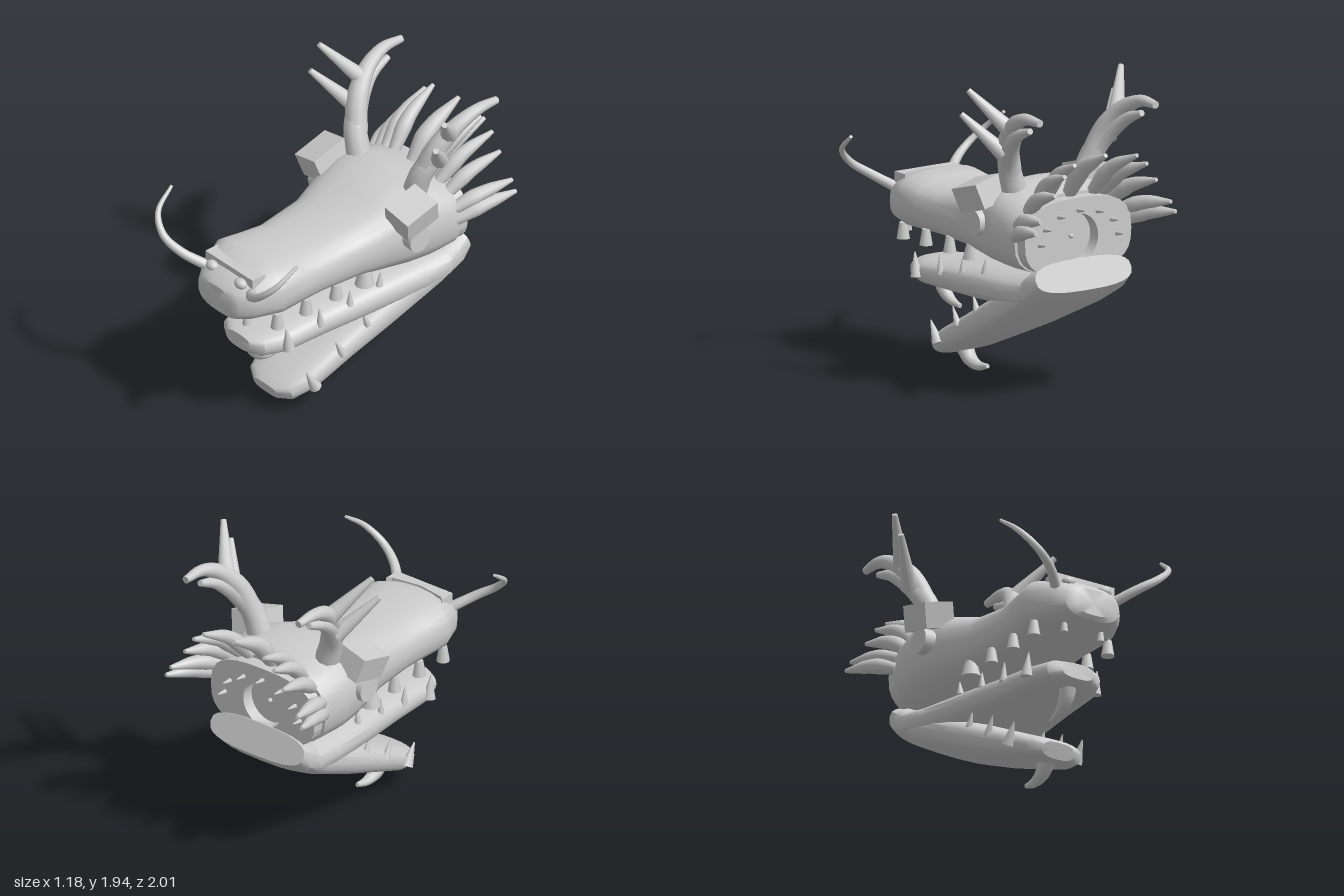
import * as THREE from 'three';
import { toCreasedNormals } from 'three/addons/utils/BufferGeometryUtils.js';

const stone = new THREE.MeshStandardMaterial({ color: 0xcccccc });
stone.name = 'pale grey';

const V = (x, y, z) => new THREE.Vector3(x, y, z);

function add(parent, name, geometry) {
  const mesh = new THREE.Mesh(geometry, stone);
  mesh.name = name;
  parent.add(mesh);
  return mesh;
}

// Rounded-box outline of one cross-section
function outline(halfWidth, bottom, top, power, count) {
  const pts = [];
  for (let i = 0; i < count; i++) {
    const a = (i / count) * Math.PI * 2, c = Math.cos(a), s = Math.sin(a);
    pts.push([
      halfWidth * Math.sign(c) * Math.abs(c) ** (2 / power),
      (top + bottom) / 2 + ((top - bottom) / 2) * Math.sign(s) * Math.abs(s) ** (2 / power),
    ]);
  }
  return pts;
}

// Closed body through sections [z, halfWidth, bottom, top], listed front to back
function loft(sections, power = 2.8, n = 24) {
  const pos = [], idx = [], last = sections.length - 1;
  for (const [z, w, b, t] of sections)
    for (const [x, y] of outline(w, b, t, power, n)) pos.push(x, y, z);
  for (let r = 0; r < last; r++)
    for (let i = 0; i < n; i++) {
      const j = (i + 1) % n, a = r * n + i, b = r * n + j;
      idx.push(a, a + n, b, b, a + n, b + n);
    }
  [0, last].forEach((r) => {
    const [z, , b, t] = sections[r], centre = pos.length / 3;
    pos.push(0, (b + t) / 2, z);
    for (let i = 0; i < n; i++) {
      const a = r * n + i, c = r * n + (i + 1) % n;
      idx.push(centre, ...(r === 0 ? [a, c] : [c, a]));
    }
  });
  const g = new THREE.BufferGeometry();
  g.setAttribute('position', new THREE.Float32BufferAttribute(pos, 3));
  g.setIndex(idx);
  return toCreasedNormals(g, 0.6);
}

// Curved, tapered horn with flat ends; radii are spread evenly along the path
function horn(points, radii, rings = 16, sides = 10) {
  const curve = new THREE.CatmullRomCurve3(points);
  const g = new THREE.TubeGeometry(curve, rings, 1, sides);
  const p = g.attributes.position, v = V(0, 0, 0);
  for (let i = 0; i <= rings; i++) {
    const t = THREE.MathUtils.clamp((i - 1) / (rings - 2), 0, 1);
    const from = curve.getPointAt(i / rings), to = curve.getPointAt(t);
    const f = t * (radii.length - 1), k = Math.min(Math.floor(f), radii.length - 2);
    const r = i === 0 || i === rings ? 0 : THREE.MathUtils.lerp(radii[k], radii[k + 1], f - k);
    for (let j = 0; j <= sides; j++) {
      const q = i * (sides + 1) + j;
      v.fromBufferAttribute(p, q).sub(from).multiplyScalar(r).add(to);
      p.setXYZ(q, v.x, v.y, v.z);
    }
  }
  return toCreasedNormals(g, 0.9);
}

// Straight cone between two points
function spike(from, to, r0, r1 = 0.004) {
  const d = to.clone().sub(from);
  const g = new THREE.CylinderGeometry(r1, r0, d.length(), 10);
  g.applyQuaternion(new THREE.Quaternion().setFromUnitVectors(V(0, 1, 0), d.normalize()));
  const m = from.clone().add(to).multiplyScalar(0.5);
  return g.translate(m.x, m.y, m.z);
}

// Jaw with side teeth and a curved chin barb; origin at the front tip
function makeJaw(name) {
  const jaw = new THREE.Group();
  jaw.name = name;
  add(jaw, 'jawBody', loft([
    [0, 0.11, -0.05, 0.05], [-0.05, 0.19, -0.075, 0.07], [-0.2, 0.245, -0.085, 0.085],
    [-0.5, 0.27, -0.08, 0.12], [-0.8, 0.31, -0.07, 0.155], [-1.2, 0.36, -0.04, 0.19],
    [-1.38, 0.38, -0.01, 0.225], [-1.47, 0.36, 0.03, 0.23],
  ]));
  add(jaw, 'chinBarb', horn(
    [V(0, -0.05, -0.11), V(0, -0.14, -0.14), V(0, -0.195, -0.21), V(0, -0.215, -0.3)],
    [0.055, 0.045, 0.03, 0.014]));
  const teeth = [[-0.19, -0.02, -0.17, 0.13, 0.04], [-0.44, 0.04, -0.43, 0.165, 0.027],
    [-0.67, 0.09, -0.67, 0.19, 0.024], [-0.9, 0.13, -0.91, 0.22, 0.024]];
  for (const s of [1, -1])
    teeth.forEach(([z0, y0, z1, y1, r], i) => {
      const x = s * (0.245 + i * 0.006);
      add(jaw, 'lowerTooth', spike(V(x, y0, z0), V(x, y1, z1), r));
    });
  return jaw;
}

export function createModel() {
  const model = new THREE.Group();
  model.name = 'hornedBeastHead';

  // Skull and snout
  add(model, 'skull', loft([
    [0.945, 0.135, 0.875, 1.045], [0.925, 0.19, 0.85, 1.07], [0.84, 0.255, 0.83, 1.12],
    [0.67, 0.33, 0.82, 1.18], [0.5, 0.315, 0.82, 1.16], [0.35, 0.305, 0.82, 1.145],
    [0.04, 0.33, 0.805, 1.185], [-0.13, 0.38, 0.79, 1.25], [-0.3, 0.43, 0.775, 1.31],
    [-0.45, 0.445, 0.765, 1.32], [-0.64, 0.42, 0.765, 1.26],
  ]));

  // Neck plate with round socket and stud
  const plate = new THREE.Shape(
    outline(0.4, 0.77, 1.24, 2.8, 32).map(([x, y]) => new THREE.Vector2(x, y)));
  plate.holes.push(new THREE.Path().absarc(0, 0.99, 0.15, 0, Math.PI * 2, true));
  add(model, 'neckPlate', new THREE.ExtrudeGeometry(plate,
    { depth: 0.09, bevelEnabled: false, curveSegments: 24 }).translate(0, 0, -0.72));
  add(model, 'neckStud', new THREE.SphereGeometry(0.016, 10, 8).translate(0, 0.99, -0.65));
  for (let i = 0; i < 7; i++) {
    const a = Math.PI * (i / 6), x = 0.29 * Math.cos(a), y = 0.98 + 0.18 * Math.sin(a);
    add(model, 'neckSpine', spike(V(x, y, -0.7), V(x, y + 0.01, -0.79), 0.018));
  }

  // Ridge over the nose, notched at the rear
  const ridge = new THREE.Shape([[-0.215, -0.845], [0.215, -0.845], [0.215, -0.74],
    [0.19, -0.765], [0, -0.795], [-0.19, -0.765], [-0.215, -0.74]].map(([x, y]) => new THREE.Vector2(x, y)));
  add(model, 'noseRidge', new THREE.ExtrudeGeometry(ridge, { depth: 0.075, bevelEnabled: false })
    .rotateX(-Math.PI / 2).translate(0, 1.075, 0));

  // Centre spike of the neck crest
  add(model, 'crestSpike', horn([V(0, 1.24, -0.62), V(0, 1.42, -0.76), V(0, 1.55, -1.0)],
    [0.04, 0.06, 0.045, 0.014]));

  for (const s of [1, -1]) {
    const P = (x, y, z) => V(s * x, y, z);

    // Nostrils, eyes and brow blocks
    add(model, 'nostril', new THREE.SphereGeometry(0.045, 14, 10)
      .scale(1, 0.75, 0.8).translate(s * 0.13, 1.095, 0.865));
    add(model, 'eye', new THREE.CylinderGeometry(0.082, 0.082, 0.2, 20)
      .rotateZ(Math.PI / 2).translate(s * 0.37, 1.07, -0.28));
    const brow = add(model, 'brow', new THREE.BoxGeometry(0.2, 0.16, 0.25));
    brow.position.set(s * 0.4, 1.24, -0.27);
    brow.rotation.set(0.27, 0, -s * 0.25);

    // Whiskers
    add(model, 'whisker', horn([P(0.19, 1.04, 0.83), P(0.32, 1.13, 0.945), P(0.44, 1.21, 0.985),
      P(0.54, 1.31, 0.94), P(0.575, 1.42, 0.8)], [0.034, 0.028, 0.02, 0.01], 24));

    // Branched antlers
    add(model, 'antler', horn([P(0.25, 1.24, -0.42), P(0.31, 1.42, -0.44), P(0.37, 1.56, -0.53),
      P(0.41, 1.66, -0.65), P(0.42, 1.72, -0.8)], [0.08, 0.07, 0.05, 0.02], 20));
    add(model, 'antlerTop', horn([P(0.3, 1.4, -0.44), P(0.36, 1.58, -0.5), P(0.41, 1.72, -0.62),
      P(0.435, 1.79, -0.77), P(0.435, 1.79, -0.92)], [0.07, 0.065, 0.045, 0.024], 20));
    add(model, 'lowerProng', spike(P(0.39, 1.52, -0.5), P(0.575, 1.76, -0.31), 0.055, 0.018));
    add(model, 'upperProng', spike(P(0.4, 1.68, -0.57), P(0.575, 1.92, -0.38), 0.055, 0.018));

    // Crest spikes fanning round the neck: base x, y and tip x, y
    const crest = [[0.17, 1.23, 0.235, 1.52], [0.24, 1.22, 0.31, 1.46], [0.31, 1.17, 0.38, 1.35],
      [0.38, 1.1, 0.49, 1.2], [0.4, 1.03, 0.525, 1.135]];
    for (const [x0, y0, x1, y1] of crest)
      add(model, 'crestSpike', horn([P(x0, y0, -0.62),
        P((x0 + x1) / 2, y0 + (y1 - y0) * 0.62, -0.78), P(x1, y1, -1.0)], [0.035, 0.05, 0.038, 0.013]));

    // Upper teeth, widening to a flat end
    [[0.69, 0.042], [0.46, 0.042], [0.22, 0.042], [-0.01, 0.062]].forEach(([z, r]) =>
      add(model, 'upperTooth', spike(P(0.265, 0.87, z), P(0.265, 0.77, z), r * 0.6, r)));
    add(model, 'frontTooth', spike(P(0.13, 0.86, 0.82), P(0.13, 0.78, 0.82), 0.015, 0.024));
  }

  // Two jaws sharing one form, the lower one swung open
  const middleJaw = makeJaw('middleJaw');
  middleJaw.position.set(0, 0.57, 0.77);
  const lowerJaw = makeJaw('lowerJaw');
  lowerJaw.position.set(0, 0.125, 0.55);
  lowerJaw.rotation.x = 0.37;
  model.add(middleJaw, lowerJaw);

  return model;
}
